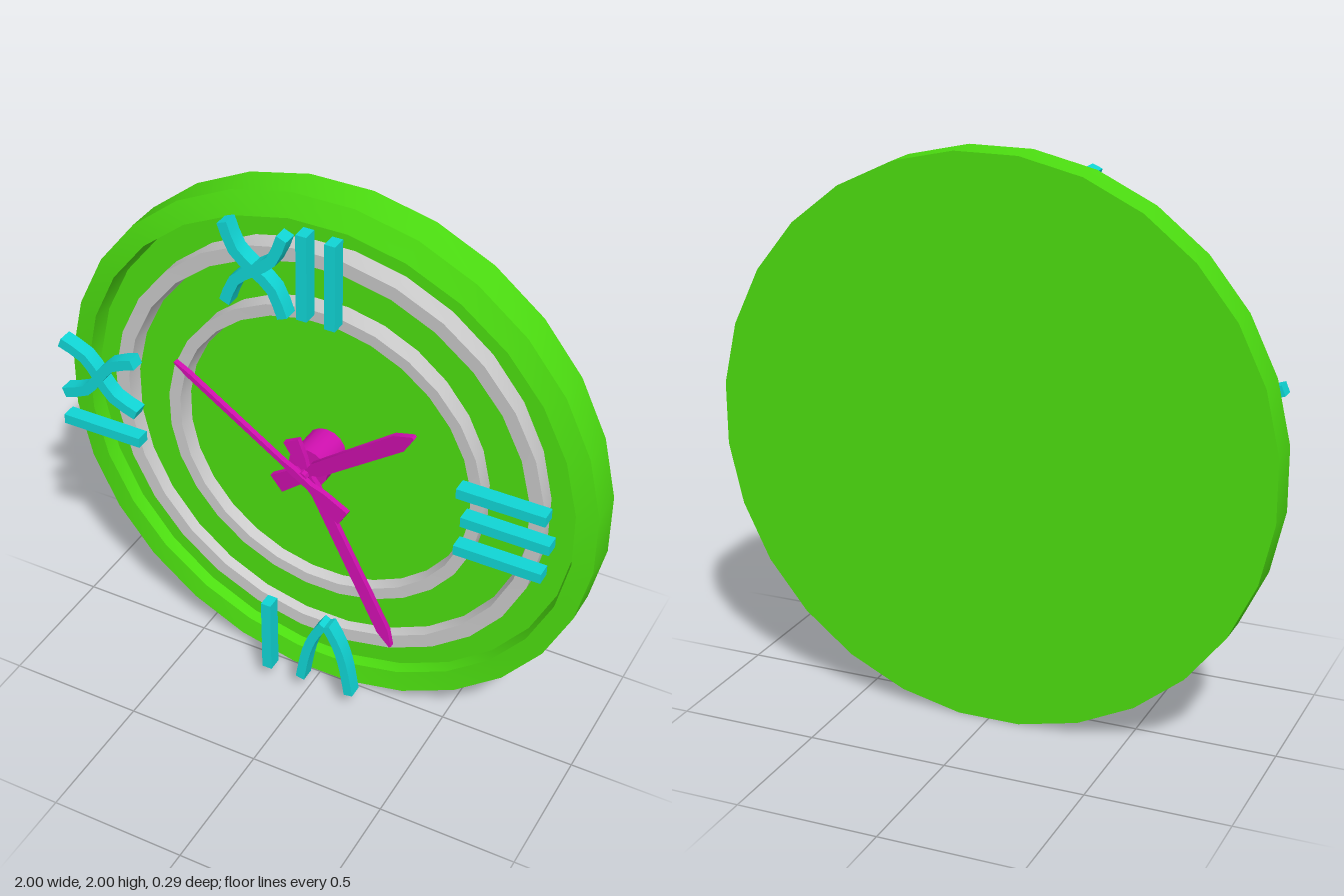
import * as THREE from 'three';
import { toCreasedNormals } from 'three/addons/utils/BufferGeometryUtils.js';

const SIDES = 28;
const FLOOR = -0.06;
const mat = (color) => new THREE.MeshStandardMaterial({ color });
const green = mat(0x4cdd10), grey = mat(0xcccccc), cyan = mat(0x10d5d5), magenta = mat(0xd010b0);

function add(parent, name, geometry, material) {
  const mesh = new THREE.Mesh(toCreasedNormals(geometry, 0.5), material);
  mesh.name = name;
  parent.add(mesh);
  return mesh;
}

// Turned part facing +z from [radius, z] points; the raised rings lean forward at the top
function turned(points) {
  const pts = points.map(([r, z]) => new THREE.Vector2(r, z));
  const g = new THREE.LatheGeometry(pts, SIDES, Math.PI / SIDES);
  g.rotateX(Math.PI / 2);
  const p = g.attributes.position;
  for (let i = 0; i < p.count; i++) {
    const x = p.getX(i), y = p.getY(i), z = p.getZ(i);
    const raised = Math.hypot(x, y) < 0.95 && z > FLOOR + 0.01;
    p.setZ(i, z + (raised ? 0.019 : -0.007) * y);
  }
  return g.translate(0, 1.002, 0);
}

// Strip of constant width along a curve through [x, y] points, extruded in z
function stroke(points, width = 0.038) {
  const curve = new THREE.SplineCurve(points.map(([x, y]) => new THREE.Vector2(x, y)));
  const n = points.length > 2 ? 8 : 1;
  const a = [], b = [];
  for (let i = 0; i <= n; i++) {
    const c = curve.getPoint(i / n), t = curve.getTangent(i / n);
    const off = new THREE.Vector2(-t.y, t.x).multiplyScalar(width / 2);
    a.push(c.clone().add(off));
    b.unshift(c.clone().sub(off));
  }
  const g = new THREE.ExtrudeGeometry(new THREE.Shape([...a, ...b]), { depth: 0.053, bevelEnabled: false });
  return g.translate(0, 0, 0.09);
}

// The two S-curved strokes of a cross numeral
function cross(parent, cx, cy, angle) {
  const c = Math.cos(angle), s = Math.sin(angle);
  for (const side of [-1, 1]) {
    const pts = [[0.106, 0.147], [0.068, 0.055], [0, 0], [-0.068, -0.055], [-0.106, -0.147]]
      .map(([x, y]) => [x * side, y])
      .map(([x, y]) => [cx + x * c - y * s, cy + x * s + y * c]);
    add(parent, 'crossStroke', stroke(pts), cyan);
  }
}

// Flat pointed hand: outline is [distance from tail (0..1), half width]
function hand(parent, name, tail, tip, outline) {
  const a = new THREE.Vector3(...tail), b = new THREE.Vector3(...tip);
  const length = a.distanceTo(b);
  const top = outline.map(([t, w]) => new THREE.Vector2(t * length, w));
  const bottom = outline.map(([t, w]) => new THREE.Vector2(t * length, -w)).reverse();
  const g = new THREE.ExtrudeGeometry(new THREE.Shape([...bottom, ...top]), { depth: 0.02, bevelEnabled: false });
  g.translate(0, 0, -0.01);
  const x = b.clone().sub(a).normalize();
  const y = new THREE.Vector3(0, 0, 1).cross(x).normalize();
  const z = x.clone().cross(y);
  g.applyMatrix4(new THREE.Matrix4().makeBasis(x, y, z).setPosition(a));
  add(parent, name, g, magenta);
}

export function createModel() {
  const clock = new THREE.Group();
  clock.name = 'wallClock';

  // Case with a sunken flat dial
  add(clock, 'case', turned([
    [0, -0.137], [1.005, -0.137], [1.005, -0.01], [0.93, 0], [0.918, FLOOR], [0, FLOOR],
  ]), green);

  // Raised dial rings
  for (const [name, outer, inner] of [['outerRing', 0.82, 0.758], ['innerRing', 0.602, 0.548]]) {
    add(clock, name, turned([[outer, FLOOR], [outer, -0.004], [inner + 0.01, -0.006], [inner, FLOOR]]), grey);
  }

  // Numerals
  const numerals = new THREE.Group();
  numerals.name = 'numerals';
  clock.add(numerals);
  const bars = [
    [[0.008, 1.65], [0.008, 1.96]], [[0.108, 1.645], [0.108, 1.955]],
    [[0.565, 1.165], [0.875, 1.165]], [[0.585, 1.055], [0.895, 1.055]], [[0.565, 0.93], [0.875, 0.93]],
    [[-0.145, 0.08], [-0.145, 0.385]], [[-0.95, 0.932], [-0.64, 0.932]],
  ];
  for (const bar of bars) add(numerals, 'numeralBar', stroke(bar), cyan);
  cross(numerals, -0.167, 1.782, 0);
  cross(numerals, -0.795, 1.155, Math.PI / 2);
  for (const side of [-1, 1]) {
    const leg = [[0.005, 0.38], [0.045, 0.31], [0.075, 0.22], [0.098, 0.09]].map(([x, y]) => [0.09 + x * side, y]);
    add(numerals, 'wedgeStroke', stroke(leg, 0.034), cyan);
  }

  // Hub standing on the dial, and the pin through the hands
  const hub = add(clock, 'hub', new THREE.CylinderGeometry(0.074, 0.074, 0.135, 16), magenta);
  hub.rotation.x = Math.PI / 2;
  hub.position.set(-0.008, 1.01, 0.0075);
  const pin = add(clock, 'pin', new THREE.CylinderGeometry(0.018, 0.018, 0.06, 8), magenta);
  pin.rotation.x = Math.PI / 2;
  pin.position.set(-0.005, 1.005, 0.095);

  // Hands
  hand(clock, 'hourHand', [-0.122, 0.912, 0.08], [0.41, 1.33, 0.135],
    [[0, 0.036], [0.17, 0.03], [0.21, 0.015], [0.26, 0.015], [0.3, 0.027], [0.9, 0.031], [1, 0.005]]);
  hand(clock, 'minuteHand', [-0.062, 1.118, 0.085], [0.34, 0.38, 0.115],
    [[0, 0.032], [0.09, 0.024], [0.13, 0.014], [0.18, 0.014], [0.22, 0.021], [0.92, 0.024], [1, 0.004]]);
  hand(clock, 'secondHand', [0.162, 0.904, 0.136], [-0.51, 1.29, 0.083],
    [[0, 0.034], [0.13, 0.026], [0.2, 0.012], [0.3, 0.014], [0.36, 0.009], [0.92, 0.009], [1, 0.003]]);

  return clock;
}
